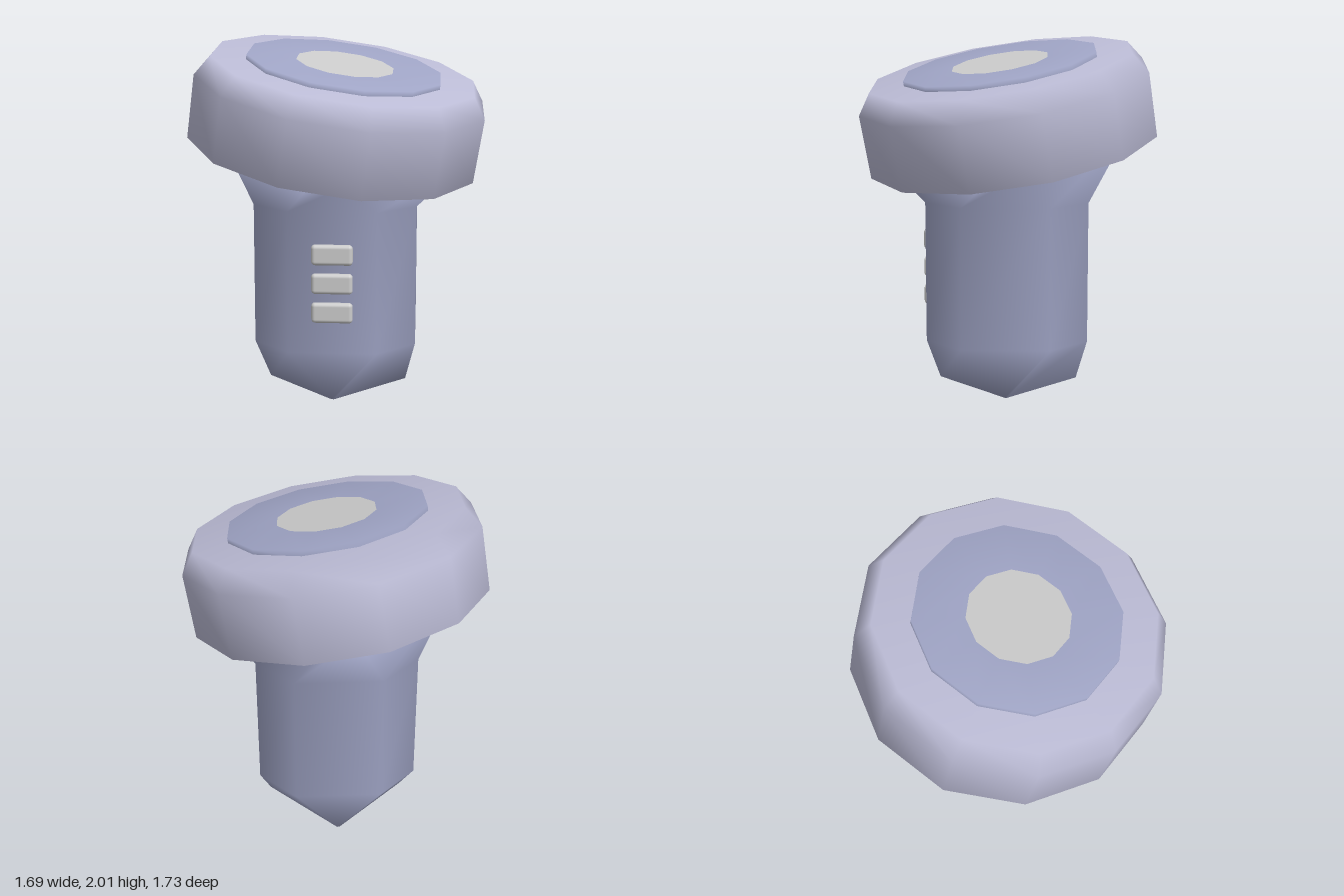
import * as THREE from 'three';
import { RoundedBoxGeometry } from 'three/addons/geometries/RoundedBoxGeometry.js';

const mat = (color) => new THREE.MeshStandardMaterial({ color });
const bodyMat = mat(0xa0a5c6);
const headMat = mat(0xbcbcd6);
const greyMat = mat(0xcccccc);

const TILT = 0.215;
const HEAD = new THREE.Vector3(0, 1.37, -0.035);

function mesh(name, geometry, material) {
  const m = new THREE.Mesh(geometry, material);
  m.name = name;
  return m;
}

// Twelve-sided turned part; points are [radius, height]
function turned(name, points, material) {
  const profile = points.map(([r, h]) => new THREE.Vector2(r, h));
  return mesh(name, new THREE.LatheGeometry(profile, 12), material);
}

// Square column with chamfered corners, lofted through rings of eight points
function columnGeometry() {
  const flat = (y) => () => y;
  const slanted = (z) => HEAD.y + 0.025 - Math.tan(TILT) * (z - HEAD.z);
  const rings = [
    { h: 0.29, c: 0.28, y: flat(0) },
    { h: 0.5, c: 0.15, y: flat(0.29) },
    { h: 0.5, c: 0.15, y: flat(1.09) },
    { h: 0.54, c: 0.43, y: slanted },
  ];
  const positions = [];
  const index = [];
  rings.forEach(({ h, c, y }, i) => {
    const corners = [[c, h], [h, c], [h, -c], [c, -h], [-c, -h], [-h, -c], [-h, c], [-c, h]];
    corners.forEach(([x, z], j) => {
      positions.push(x, y(z), z + 0.01);
      if (i === 0) return;
      const a = (i - 1) * 8 + j;
      const b = (i - 1) * 8 + ((j + 1) % 8);
      index.push(a, b, b + 8, a, b + 8, a + 8);
    });
  });
  const top = (rings.length - 1) * 8;
  for (let j = 1; j < 7; j++) {
    index.push(0, j + 1, j, top, top + j, top + j + 1);
  }
  const g = new THREE.BufferGeometry();
  g.setAttribute('position', new THREE.Float32BufferAttribute(positions, 3));
  g.setIndex(index);
  g.computeVertexNormals();
  return g;
}

export function createModel() {
  const model = new THREE.Group();
  model.name = 'tiltedHeadPost';
  model.add(mesh('column', columnGeometry(), bodyMat));

  // Three buttons on the front right chamfer
  const buttonGeometry = new RoundedBoxGeometry(0.23, 0.116, 0.05, 3, 0.022);
  [0.525, 0.69, 0.853].forEach((y) => {
    const button = mesh('button', buttonGeometry, greyMat);
    button.position.set(-0.325, y, 0.335);
    button.rotation.y = -Math.PI / 4;
    model.add(button);
  });

  // Head, leaning towards the front
  const head = new THREE.Group();
  head.name = 'head';
  head.position.copy(HEAD);
  head.rotation.x = TILT;
  head.add(
    turned('headShell', [[0.75, 0], [0.845, 0], [0.845, 0.368], [0.766, 0.483], [0, 0.483]], headMat),
    turned('undersideRing', [[0.69, 0], [0.75, 0]], greyMat),
    turned('undersideRecess', [[0, 0.03], [0.69, 0.03], [0.69, 0]], headMat),
    turned('raisedDisc', [[0.565, 0.47], [0.565, 0.511], [0.283, 0.511]], bodyMat),
    turned('centreCap', [[0.283, 0.511], [0, 0.511]], greyMat),
  );
  model.add(head);
  return model;
}
